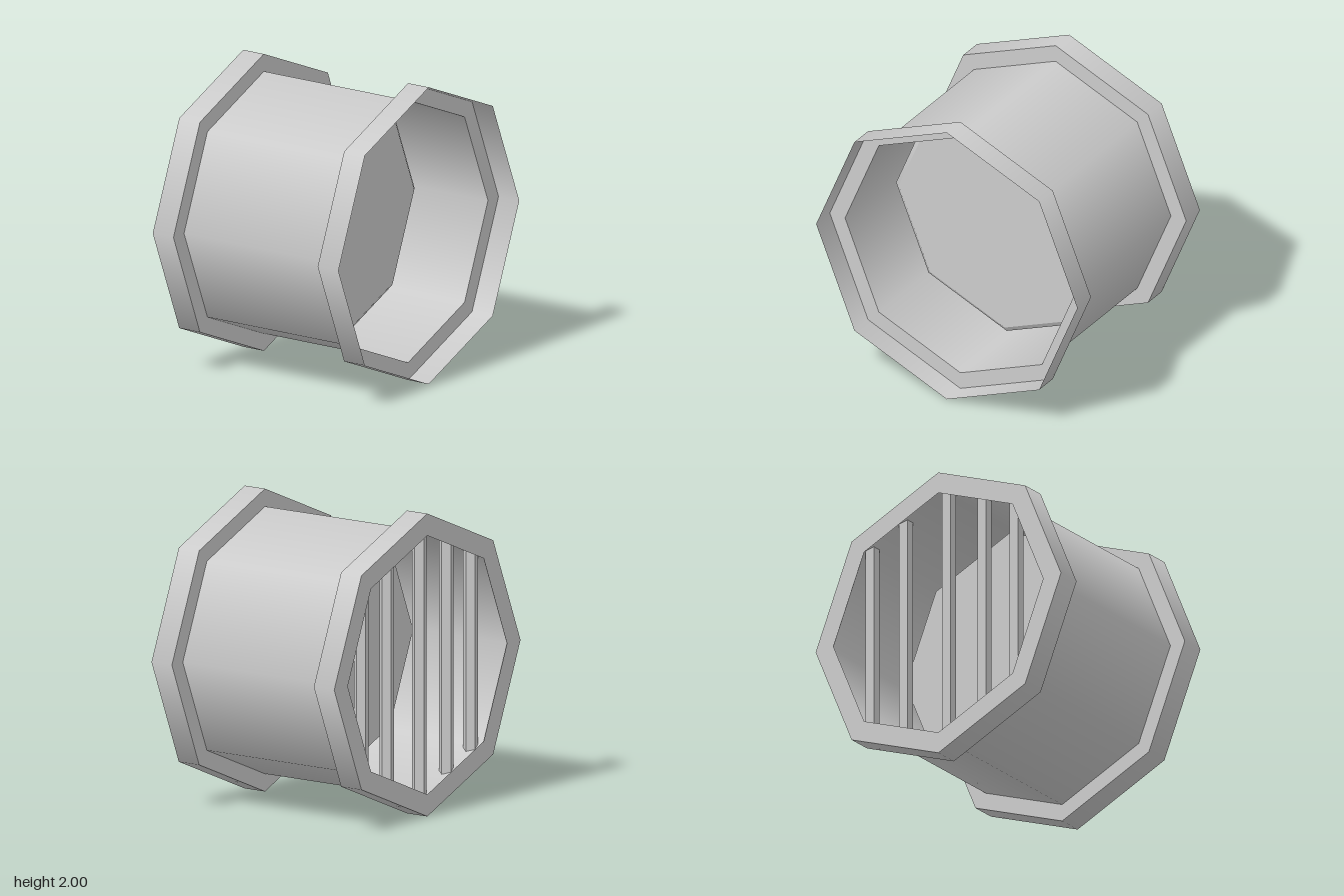
import * as THREE from 'three';

const SIDES = 8;
const HALF = 0.74;      // half length along x
const INNER = 0.575;    // inner side of both flanges
const TUBE_R = 0.883;

export function createModel() {
  const group = new THREE.Group();
  const grey = new THREE.MeshStandardMaterial({ color: 0xcccccc, side: THREE.DoubleSide });
  grey.name = 'lightGrey';

  const add = (name, geometry) => {
    const mesh = new THREE.Mesh(geometry, grey);
    mesh.name = name;
    group.add(mesh);
    return mesh;
  };

  // Octagonal shell along x from x0 to x1, smooth around its side
  const shell = (name, x0, x1, r0, r1, open = true) => {
    const g = new THREE.CylinderGeometry(r1, r0, x1 - x0, SIDES, 1, open);
    g.rotateZ(-Math.PI / 2);
    g.translate((x0 + x1) / 2, 1, 0);
    return add(name, g);
  };

  // Flat octagonal ring facing +x or -x
  const ring = (name, x, inner, facing) => {
    const g = new THREE.RingGeometry(inner, 1, SIDES, 1);
    g.rotateY(facing * Math.PI / 2);
    g.translate(x, 1, 0);
    return add(name, g);
  };

  // Main tube, running on into the grille end
  shell('tube', -HALF, INNER, TUBE_R, TUBE_R);

  // Open collar on the +x end
  shell('openCollarRim', INNER, HALF, 1, 1);
  ring('openCollarStep', INNER, TUBE_R, -1);

  // Closed collar on the grille end
  shell('grilleCollarRim', -HALF, -INNER, 1, 1);
  ring('grilleCollarStep', -INNER, TUBE_R, 1);
  ring('grilleCollarFace', -HALF, 0.855, -1);

  // Bevelled partition plate inside the tube
  shell('partitionPlate', 0.015, 0.04, 0.847, 0.81, false);

  // Five-sided vertical grille bars, ends buried in the collar
  for (const z of [0.57, 0.31, 0.02, -0.33, -0.605]) {
    const reach = TUBE_R - Math.tan(Math.PI / 8) * Math.abs(z) + 0.025;
    let g = new THREE.CylinderGeometry(0.05, 0.05, reach * 2, 5);
    g.rotateY(Math.PI);
    g = g.toNonIndexed();
    g.computeVertexNormals();
    g.translate(-0.66, 1, z);
    add('grilleBar', g);
  }

  return group;
}
